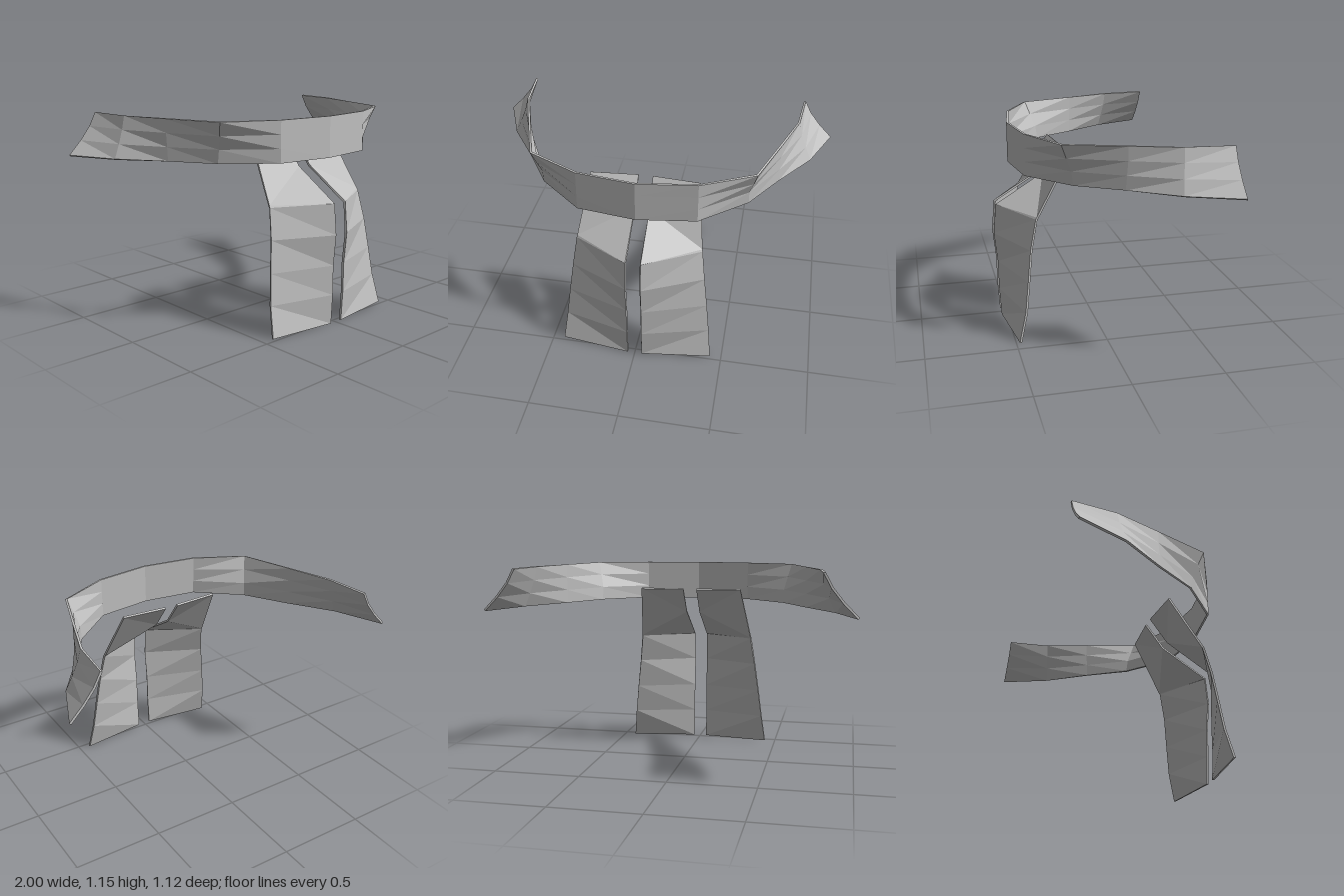
import * as THREE from 'three';

const THICKNESS = 0.012;

// Closed thin sheet from a grid of points: columns run along +x, rows run upward, front faces +z.
function clothSheet(columns, risingDiagonal) {
  const nu = columns.length, nv = columns[0].length, count = nu * nv;
  const id = (u, v) => u * nv + v;
  const front = [];
  for (let u = 0; u < nu - 1; u++) {
    for (let v = 0; v < nv - 1; v++) {
      const a = id(u, v), b = id(u + 1, v), c = id(u + 1, v + 1), d = id(u, v + 1);
      if (risingDiagonal(u)) front.push(a, b, c, a, c, d);
      else front.push(a, b, d, b, c, d);
    }
  }
  const mid = new THREE.BufferGeometry();
  mid.setAttribute('position', new THREE.Float32BufferAttribute(columns.flat(2), 3));
  mid.setIndex(front);
  mid.computeVertexNormals();

  // Push the surface out to both sides
  const p = mid.attributes.position, n = mid.attributes.normal, pos = [];
  for (const side of [0.5, -0.5]) {
    for (let i = 0; i < count; i++) {
      const k = side * THICKNESS;
      pos.push(p.getX(i) + n.getX(i) * k, p.getY(i) + n.getY(i) * k, p.getZ(i) + n.getZ(i) * k);
    }
  }
  const index = [...front];
  for (let i = 0; i < front.length; i += 3) {
    index.push(front[i] + count, front[i + 2] + count, front[i + 1] + count);
  }
  // Rim around the edge, counter-clockwise
  const rim = [];
  for (let u = 0; u < nu - 1; u++) rim.push(id(u, 0));
  for (let v = 0; v < nv - 1; v++) rim.push(id(nu - 1, v));
  for (let u = nu - 1; u > 0; u--) rim.push(id(u, nv - 1));
  for (let v = nv - 1; v > 0; v--) rim.push(id(0, v));
  rim.forEach((a, i) => {
    const b = rim[(i + 1) % rim.length];
    index.push(a, a + count, b + count, a, b + count, b);
  });
  const geometry = new THREE.BufferGeometry();
  geometry.setAttribute('position', new THREE.Float32BufferAttribute(pos, 3));
  geometry.setIndex(index);
  const flat = geometry.toNonIndexed();
  flat.computeVertexNormals();
  return flat;
}

export function createModel() {
  const model = new THREE.Group();
  model.name = 'tiedSash';
  const cloth = new THREE.MeshStandardMaterial({ color: 0xc0c0c0, flatShading: true });
  cloth.name = 'grey cloth';

  const add = (name, geometry) => {
    const mesh = new THREE.Mesh(geometry, cloth);
    mesh.name = name;
    model.add(mesh);
  };

  // Band: [x, z] at four heights (bottom to top) for each station from the middle outward
  const heights = [0.924, 1.0, 1.075, 1.15];
  const stations = [
    [[0.32, 0.412], [0.32, 0.412], [0.32, 0.412], [0.32, 0.412]],
    [[0.565, 0.2], [0.565, 0.21], [0.585, 0.24], [0.605, 0.268]],
    [[0.71, -0.035], [0.71, -0.04], [0.71, -0.045], [0.71, -0.045]],
    [[0.88, -0.28], [0.845, -0.29], [0.815, -0.3], [0.795, -0.305]],
    [[0.995, -0.56], [0.92, -0.56], [0.86, -0.56], [0.82, -0.56]],
  ];
  const column = (station, s) => station.map(([x, z], i) => [x * s, heights[i], z]);
  const band = [
    ...stations.map((st) => column(st, -1)).reverse(),
    heights.map((y) => [0, y, 0.457]),
    ...stations.map((st) => column(st, 1)),
  ];
  add('band', clothSheet(band, (u) => u >= stations.length));

  // Hanging tails: inner and outer edges from the hem up to the fold behind the band
  const inner = [[0.04, 0, 0.525], [0.04, 0.17, 0.535], [0.04, 0.34, 0.537], [0.04, 0.515, 0.555],
    [0.04, 0.685, 0.54], [0.04, 0.855, 0.265], [0.04, 1.0, 0.155]];
  const outer = [[0.435, 0, 0.475], [0.415, 0.17, 0.435], [0.395, 0.34, 0.415], [0.372, 0.515, 0.395],
    [0.35, 0.682, 0.36], [0.349, 0.69, 0.355], [0.305, 1.0, 0.175]];
  const mirror = (edge) => edge.map(([x, y, z]) => [-x, y, z]);
  add('leftTail', clothSheet([inner, outer], () => true));
  add('rightTail', clothSheet([mirror(outer), mirror(inner)], () => false));

  return model;
}
